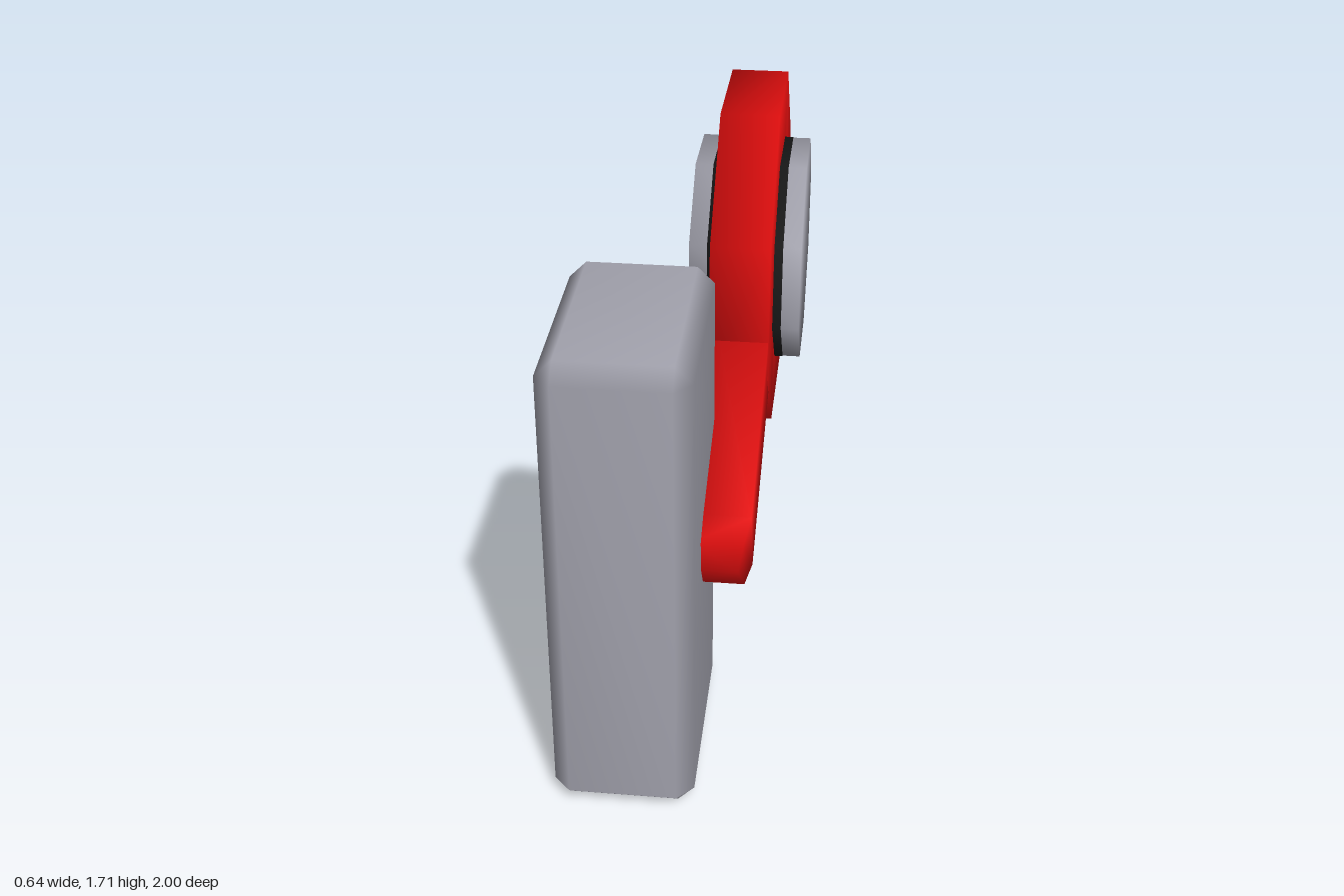
import * as THREE from 'three';
import { mergeVertices } from 'three/addons/utils/BufferGeometryUtils.js';
import { ConvexGeometry } from 'three/addons/geometries/ConvexGeometry.js';

function material(name, color) {
  const m = new THREE.MeshStandardMaterial({ color });
  m.name = name;
  return m;
}

// Weld a geometry so that shading runs smoothly over its edges
function smooth(geometry) {
  geometry.deleteAttribute('normal');
  geometry.deleteAttribute('uv');
  const welded = mergeVertices(geometry, 1e-4);
  welded.computeVertexNormals();
  return welded;
}

// Smooth solid around points mirrored in x (and y)
function mirroredHull(points) {
  const all = [];
  for (const [x, y, z] of points)
    for (const sx of [-1, 1]) for (const sy of [-1, 1]) all.push(new THREE.Vector3(x * sx, y * sy, z));
  return smooth(new ConvexGeometry(all));
}

// Box with a single chamfer on every edge
function chamferedBox(w, h, d, c) {
  const x = w / 2, y = h / 2, z = d / 2;
  const pts = [];
  for (const s of [-1, 1]) {
    pts.push([x, y - c, s * (z - c)], [x - c, y, s * (z - c)], [x - c, y - c, s * z]);
  }
  return mirroredHull(pts);
}

// Eight-sided drum lying along x
function drum(radius, length) {
  return smooth(new THREE.CylinderGeometry(radius, radius, length, 8)).rotateZ(-Math.PI / 2);
}

export function createModel() {
  const red = material('red', 0xe60f0f);
  const grey = material('grey', 0xa2a2ad);
  const black = material('black', 0x181818);

  const model = new THREE.Group();
  const add = (parent, name, geometry, mat) => {
    const mesh = new THREE.Mesh(geometry, mat);
    mesh.name = name;
    parent.add(mesh);
    return mesh;
  };

  // Upright block
  add(model, 'block', chamferedBox(0.42, 1.5, 0.67, 0.05), grey).position.set(-0.115, 0.75, 0.665);

  // Lever, tilted down toward the front
  const lever = new THREE.Group();
  lever.name = 'lever';
  lever.position.set(0.142, 1.165, -0.457);
  lever.rotation.x = THREE.MathUtils.degToRad(20);
  model.add(lever);

  // Octagonal ring
  const h = 0.0925;
  const profile = [[0.34, -h], [0.58, -h], [0.58, h], [0.34, h]].map(([r, y]) => new THREE.Vector2(r, y));
  add(lever, 'ring', new THREE.LatheGeometry(profile, 8).rotateZ(-Math.PI / 2), red);

  // Handle with a blunt tip
  const handle = [[0.092, 0.12, 0.38], [0.092, 0.12, 1.19], [0.075, 0.1, 1.275], [0.06, 0, 1.3]];
  add(lever, 'handle', mirroredHull(handle), red);

  // Hub through the ring, with a dark collar at its foot on both sides
  add(lever, 'hub', drum(0.364, 0.355), grey);
  add(lever, 'collar', drum(0.366, 0.24), black);

  return model;
}
